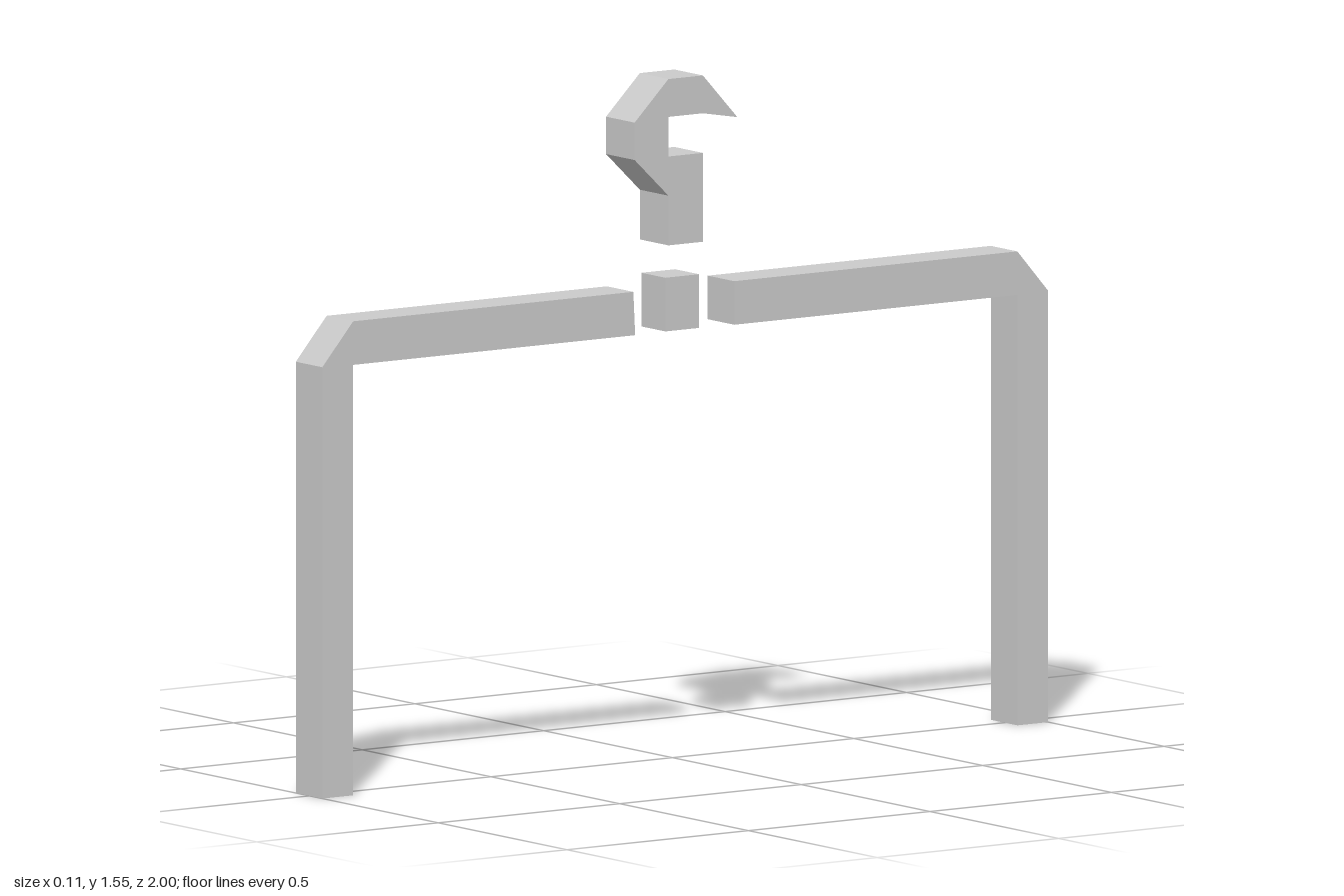
import * as THREE from 'three';

const material = new THREE.MeshStandardMaterial({ color: 0xcccccc, flatShading: true });

// Extrudes a side profile of [z, y] points between x0 and x1.
function slab(name, profile, x0, x1) {
  const shape = new THREE.Shape(profile.map(([z, y]) => new THREE.Vector2(z, y)));
  const geometry = new THREE.ExtrudeGeometry(shape, { depth: x1 - x0, bevelEnabled: false });
  geometry.rotateY(-Math.PI / 2);
  geometry.translate(x1, 0, 0);
  const mesh = new THREE.Mesh(geometry, material);
  mesh.name = name;
  return mesh;
}

// Leg with chamfered corner and half of the top bar; side is +1 front, -1 back.
function frameHalf(name, side, topEnd, bottomEnd) {
  const profile = [
    [1, 0], [1, 0.98], [0.915, 1.077], [topEnd, 1.077],
    [bottomEnd, 0.978], [0.915, 0.978], [0.915, 0],
  ].map(([z, y]) => [z * side, y]);
  return slab(name, profile, -0.053, 0.05);
}

export function createModel() {
  const model = new THREE.Group();
  model.name = 'hookFrame';

  // Two bent legs with a gap between their bars
  model.add(frameHalf('frontFrame', 1, 0.143, 0.138));
  model.add(frameHalf('backFrame', -1, 0.135, 0.135));

  // Small block in the gap
  model.add(slab('centreBlock', [[0.05, 0.978], [0.05, 1.1], [-0.043, 1.1], [-0.043, 0.978]], -0.05, 0.043));

  // Angular hook floating above, opening to the back
  model.add(slab('hook', [
    [0.05, 1.175], [-0.045, 1.175], [-0.045, 1.377], [0.05, 1.377],
    [0.05, 1.467], [-0.045, 1.467], [-0.14, 1.45], [-0.045, 1.553],
    [0.05, 1.553], [0.143, 1.462], [0.143, 1.377], [0.05, 1.288],
  ], -0.056, 0.055));

  return model;
}
